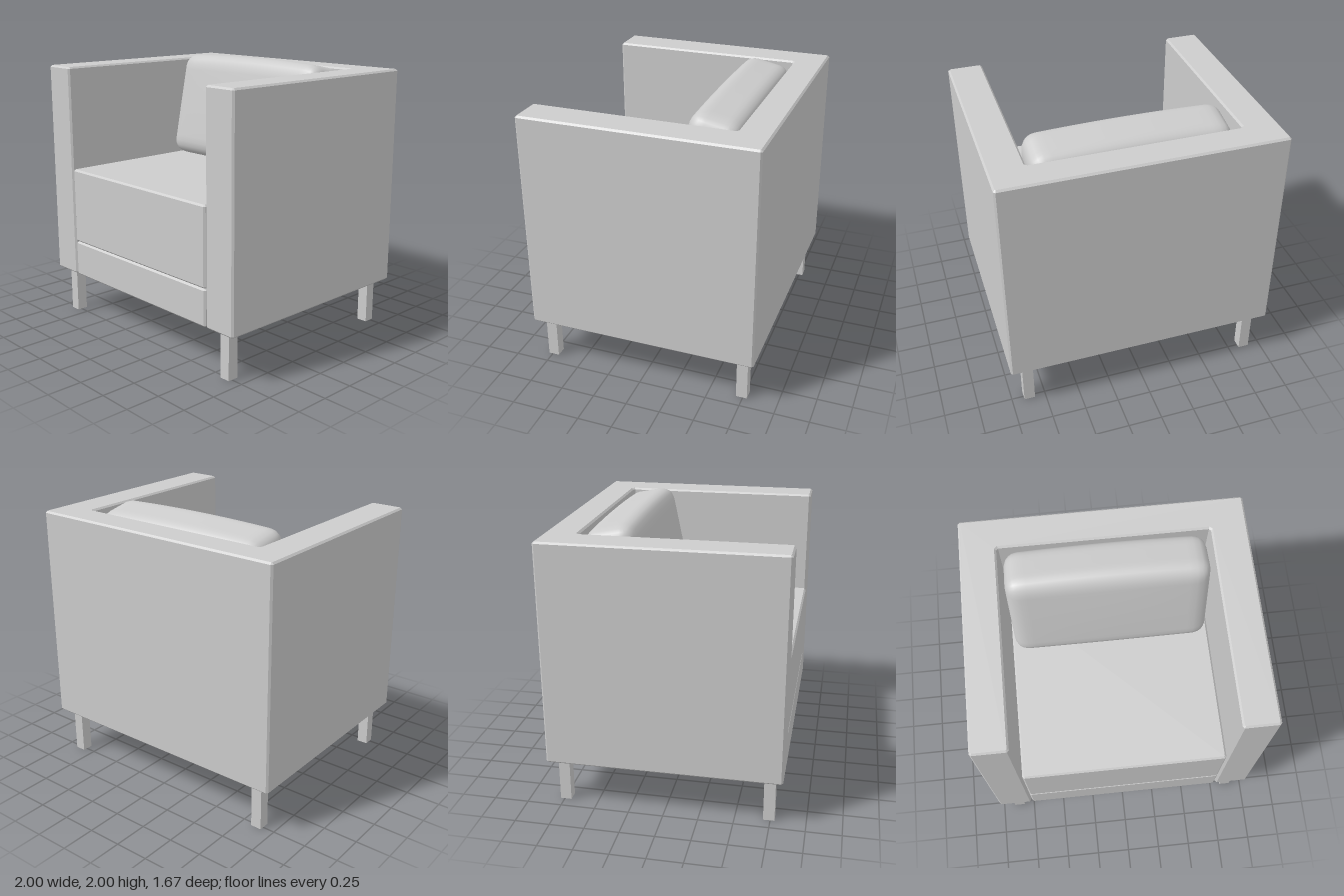
import * as THREE from 'three';
import { mergeVertices } from 'three/addons/utils/BufferGeometryUtils.js';

const BEVEL = 0.013;

// Slab with chamfered edges, from a floor plan of [x, z] corners and a height range
function chamferedSlab(plan, y0, y1) {
  const pts = plan.map(([x, z]) => new THREE.Vector2(x, -z));
  const outline = [];
  pts.forEach((p, i) => {
    for (const q of [pts[(i + pts.length - 1) % pts.length], pts[(i + 1) % pts.length]]) {
      outline.push(p.clone().add(q.clone().sub(p).setLength(BEVEL)));
    }
  });
  const geo = new THREE.ExtrudeGeometry(new THREE.Shape(outline), {
    depth: y1 - y0 - 2 * BEVEL,
    bevelThickness: BEVEL, bevelSize: BEVEL, bevelOffset: -BEVEL, bevelSegments: 1,
  });
  return geo.rotateX(-Math.PI / 2).translate(0, y0 + BEVEL, 0);
}

const rectangle = (x, z0, z1) => [[-x, z1], [x, z1], [x, z0], [-x, z0]];

// Soft pillow: a box with rounded edges and a slightly swollen top and front
function pillow(w, h, d, r) {
  let geo = new THREE.BoxGeometry(w, h, d, 28, 18, 12);
  geo.deleteAttribute('normal');
  geo.deleteAttribute('uv');
  geo = mergeVertices(geo);
  const half = new THREE.Vector3(w / 2 - r, h / 2 - r, d / 2 - r);
  const low = half.clone().negate();
  const pos = geo.attributes.position;
  const p = new THREE.Vector3();
  const core = new THREE.Vector3();
  for (let i = 0; i < pos.count; i++) {
    p.fromBufferAttribute(pos, i);
    core.copy(p).clamp(low, half);
    p.sub(core).setLength(r).add(core);
    const u = 1 - (2 * p.x / w) ** 2;
    const v = 1 - (2 * p.y / h) ** 2;
    if (p.y > 0) p.y += 0.02 * u * (2 * p.y / h);
    p.z += 0.01 * u * v * Math.sign(p.z);
    pos.setXYZ(i, p.x, p.y, p.z);
  }
  geo.computeVertexNormals();
  return geo;
}

export function createModel() {
  const model = new THREE.Group();
  model.name = 'armchair';
  const grey = new THREE.MeshStandardMaterial({ color: 0xcccccc });
  grey.name = 'grey';

  const add = (name, geo) => {
    const mesh = new THREE.Mesh(geo, grey);
    mesh.name = name;
    model.add(mesh);
    return mesh;
  };

  // Arms and back in one U-shaped shell
  add('armsAndBack', chamferedSlab([
    [-1, 0.835], [-0.745, 0.835], [-0.745, -0.61], [0.745, -0.61],
    [0.745, 0.835], [1, 0.835], [1, -0.84], [-1, -0.84],
  ], 0.34, 1.95));

  // Base and seat between the arms
  add('base', chamferedSlab(rectangle(0.738, -0.6, 0.835), 0.34, 0.61));
  add('seat', chamferedSlab(rectangle(0.738, -0.6, 0.835), 0.61, 1.18));

  // Back cushion leaning against the back
  const cushion = add('backCushion', pillow(1.42, 0.8, 0.365, 0.1));
  cushion.position.set(0, 1.57, -0.36);
  cushion.rotation.x = -0.2;

  // Square legs
  for (const x of [-0.87, 0.87]) {
    for (const z of [-0.74, 0.74]) {
      add('leg', new THREE.BoxGeometry(0.08, 0.345, 0.08)).position.set(x, 0.1725, z);
    }
  }
  return model;
}
